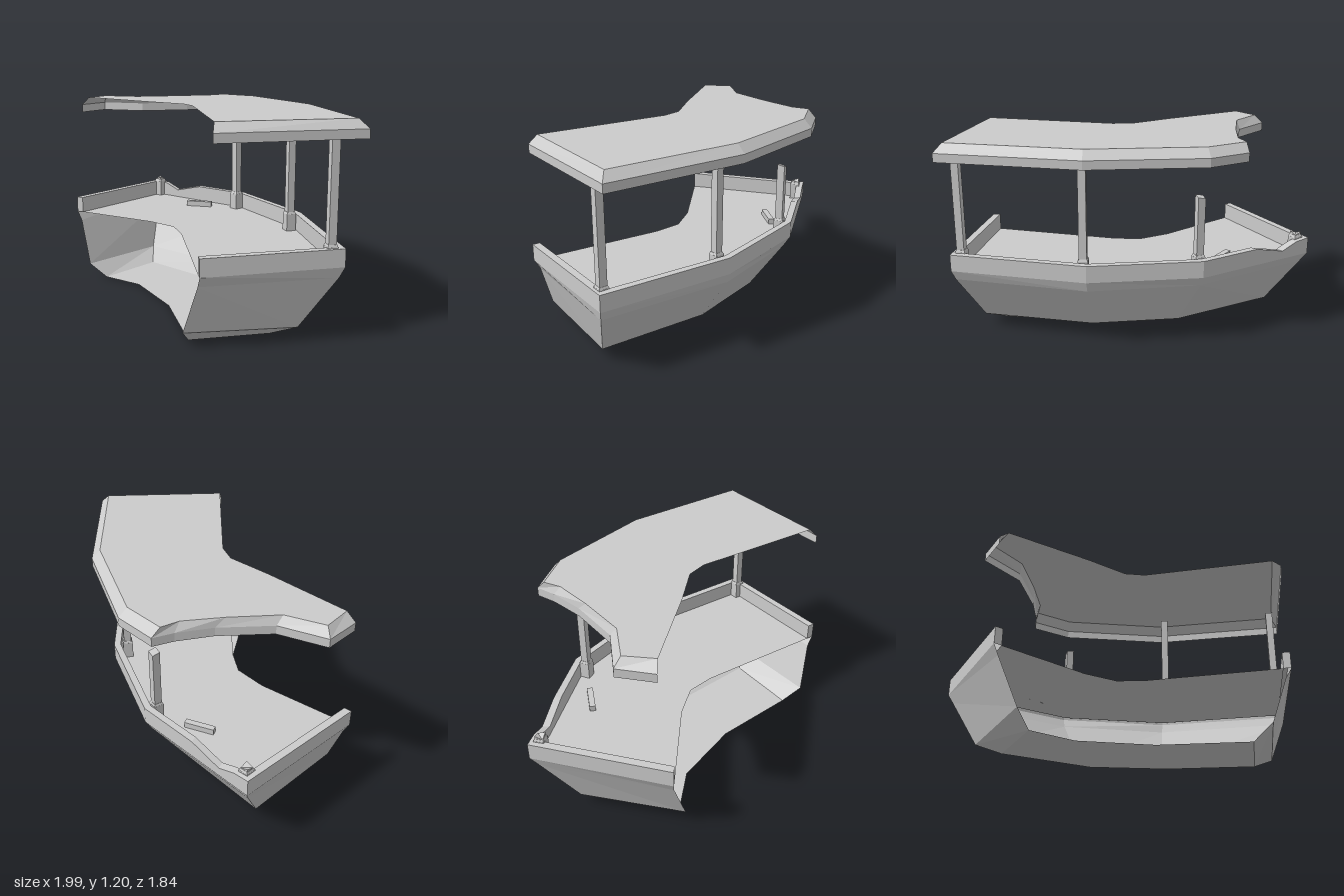
import * as THREE from 'three';

const mat = new THREE.MeshStandardMaterial({ color: 0xcccccc, flatShading: true, side: THREE.DoubleSide });

function addMesh(group, name, geo) {
  geo.computeVertexNormals();
  const mesh = new THREE.Mesh(geo, mat);
  mesh.name = name;
  group.add(mesh);
  return mesh;
}

// Skin of flat quads between successive rows of [x, y, z] points
function skin(rows) {
  const pos = [];
  for (let r = 0; r < rows.length - 1; r++) {
    for (let i = 0; i < rows[r].length - 1; i++) {
      const a = rows[r][i], b = rows[r][i + 1], c = rows[r + 1][i + 1], d = rows[r + 1][i];
      pos.push(...a, ...b, ...c, ...a, ...c, ...d);
    }
  }
  return new THREE.BufferGeometry().setAttribute('position', new THREE.Float32BufferAttribute(pos, 3));
}

// Horizontal sheet from an [x, z] outline
function sheet(outline, y) {
  const shape = new THREE.Shape(outline.map(([x, z]) => new THREE.Vector2(x, -z)));
  return new THREE.ShapeGeometry(shape).rotateX(-Math.PI / 2).translate(0, y, 0).toNonIndexed();
}

const atY = (pts, y) => pts.map(([x, z, own]) => [x, own ?? y, z]);

// Square post whose top is moved by a rule
function squarePost(width, y0, y1, topRule) {
  const geo = new THREE.BoxGeometry(width, y1 - y0, width).translate(0, (y0 + y1) / 2, 0);
  const p = geo.attributes.position;
  for (let i = 0; i < p.count; i++) {
    if (topRule && p.getY(i) > (y0 + y1) / 2) p.setY(i, y1 + topRule(p.getX(i), p.getZ(i)));
  }
  return geo;
}

export function createModel() {
  const model = new THREE.Group();
  model.name = 'curvedBalcony';

  // Hull: rim, lip, knuckle and keel sections, open along the concave side
  const rim = [[0.23, 0.92], [0.90, 0.53], [0.53, -0.19], [0.05, -0.65], [-0.69, -0.92], [-1.0, -0.17]];
  const lip = [[0.21, 0.89], [0.87, 0.53], [0.51, -0.18], [0.03, -0.62], [-0.68, -0.88], [-0.97, -0.165]];
  const knuckle = [[0.11, 0.84, 0.09], [0.66, 0.535], [0.34, -0.06], [-0.04, -0.42], [-0.65, -0.67], [-0.88, -0.09, 0.09]];
  const keel = [[0.10, 0.72], [0.50, 0.50], [0.22, 0.06], [-0.09, -0.28], [-0.59, -0.51], [-0.77, -0.11]];
  addMesh(model, 'hull', skin([atY(rim, 0.43), atY(lip, 0.37), atY(knuckle, 0.07), atY(keel, 0)]));
  addMesh(model, 'hullBottom', sheet([...keel, [-0.5, -0.03], [-0.18, 0.27]], 0));

  // Deck
  const inner = [[0.21, 0.88], [0.843, 0.513], [0.497, -0.166], [0.03, -0.615], [-0.665, -0.865], [-0.955, -0.16]];
  addMesh(model, 'deck', sheet([...inner, [-0.42, -0.05], [-0.23, 0.03], [-0.13, 0.17]], 0.43));

  // Low parapet with a broken dip in its rear run: [x along run, top height]
  const dip = [[-0.31, 0.53], [-0.5, 0.48], [-0.6, 0.52]];
  const withDip = (pts) => {
    const [a, b] = [pts[3], pts[4]];
    const extra = dip.map(([x, y]) => [x, a[1] + (b[1] - a[1]) * (x - a[0]) / (b[0] - a[0]), y]);
    return [...pts.slice(0, 4), ...extra, ...pts.slice(4)];
  };
  const flat = (pts) => pts.map(([x, z]) => [x, z]);
  const out = withDip(rim), inn = withDip(inner);
  const sections = [atY(flat(out), 0.43), atY(out, 0.53), atY(inn, 0.53), atY(flat(inn), 0.43)];
  addMesh(model, 'parapet', skin(sections));
  for (const i of [0, out.length - 1]) {
    const [a, b, c, d] = sections.map((s) => s[i]);
    addMesh(model, 'parapetEnd', skin([[a, b], [d, c]]));
  }

  // Roof shell: vertical rim, bevel and top, open along the concave side
  const eave = [[0.29, 0.89], [0.99, 0.49], [0.60, -0.24], [0.13, -0.72], [-0.11, -0.81],
    [-0.19, -0.72], [-0.35, -0.59], [-0.62, -0.44], [-0.90, -0.44], [-0.97, -0.24]];
  const crown = [[0.28, 0.84], [0.93, 0.48], [0.56, -0.21], [0.10, -0.68], [-0.14, -0.77],
    [-0.20, -0.68], [-0.39, -0.55], [-0.64, -0.405], [-0.87, -0.40], [-0.915, -0.23]];
  addMesh(model, 'roofRim', skin([atY(eave, 1.1), atY(eave, 1.15), atY(crown, 1.2)]));
  addMesh(model, 'roofTop', sheet([...crown, [-0.42, -0.05], [-0.16, 0.03], [-0.07, 0.12]], 1.2));

  // Posts on flared feet: [x, z, turn in degrees, top height, broken-top rule]
  const posts = [
    [0.82, 0.52, 30, 1.17],
    [0.475, -0.12, 36, 1.17],
    [0.01, -0.585, -31, 0.89, (x, z) => x * 0.2 + z * 0.2],
    [-0.655, -0.85, -20, 0.555, (x, z) => (x * z > 0 ? 0.01 : -0.006)],
  ];
  for (const [x, z, turn, top, rule] of posts) {
    const post = new THREE.Group();
    post.name = top > 1 ? 'roofPost' : 'brokenPost';
    post.position.set(x, 0, z);
    post.rotation.y = THREE.MathUtils.degToRad(turn);
    addMesh(post, 'shaft', squarePost(0.045, 0.5, top, rule));
    addMesh(post, 'foot', squarePost(0.06, 0.43, 0.535));
    const collar = new THREE.CylinderGeometry(0.034, 0.043, 0.016, 4).rotateY(Math.PI / 4);
    addMesh(post, 'collar', collar.translate(0, 0.54, 0));
    model.add(post);
  }

  // Fallen piece of timber on the deck
  const beam = addMesh(model, 'fallenBeam', new THREE.BoxGeometry(0.175, 0.035, 0.035));
  beam.position.set(-0.255, 0.447, -0.57);
  beam.rotation.y = 0.06;

  return model;
}
